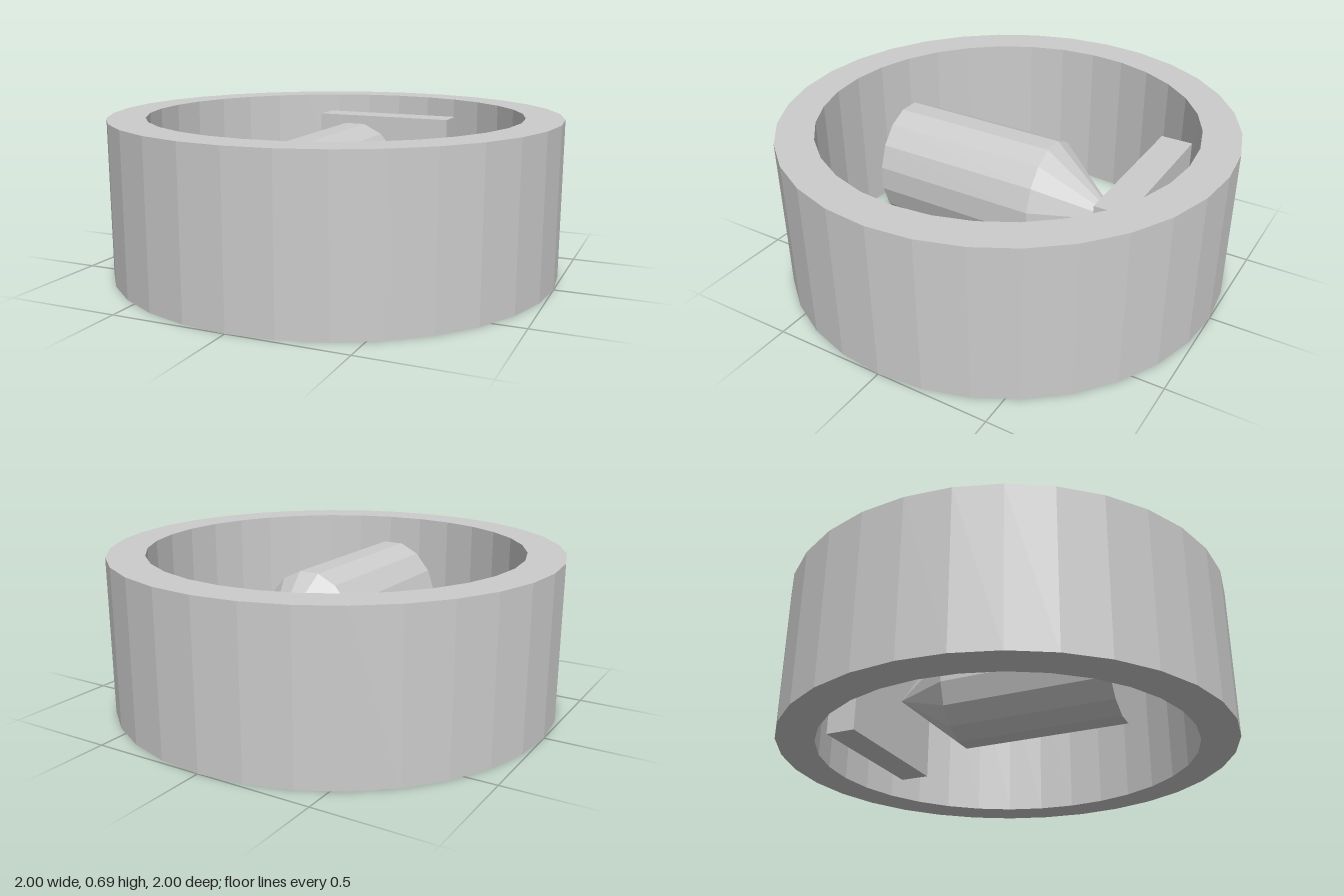
import * as THREE from 'three';

const HEIGHT = 0.695;
const MID = HEIGHT / 2;

export function createModel() {
  const model = new THREE.Group();
  model.name = 'ringWithPointer';
  const material = new THREE.MeshStandardMaterial({ color: 0xcccccc, flatShading: true });

  const add = (name, geometry, parent = model) => {
    const mesh = new THREE.Mesh(geometry, material);
    mesh.name = name;
    parent.add(mesh);
    return mesh;
  };

  // Outer ring: closed rectangular profile turned in 32 steps
  const profile = [[1, 0], [1, HEIGHT], [0.835, HEIGHT], [0.835, 0], [1, 0]]
    .map(([r, y]) => new THREE.Vector2(r, y));
  add('outerRing', new THREE.LatheGeometry(profile, 32));

  // Upright plate at the back, just ahead of the tip
  add('backPlate', new THREE.BoxGeometry(0.68, 0.53, 0.14)).position.set(0, MID, -0.655);

  // Pointer: 16-sided body and cone lying along z, taller than wide
  const pointer = new THREE.Group();
  pointer.name = 'pointer';
  pointer.position.y = MID;
  model.add(pointer);

  const taper = (name, tipRadius, zFront, zBack, open) => {
    const geometry = new THREE.CylinderGeometry(
      tipRadius, 1, zFront - zBack, 16, 1, open, Math.PI / 16);
    geometry.rotateX(-Math.PI / 2);
    geometry.scale(0.235, 0.28, 1);
    geometry.translate(0, 0, (zFront + zBack) / 2);
    add(name, geometry, pointer);
  };
  taper('pointerBody', 1, 0.54, -0.225, false);
  taper('pointerTip', 0, -0.225, -0.555, true);

  return model;
}
